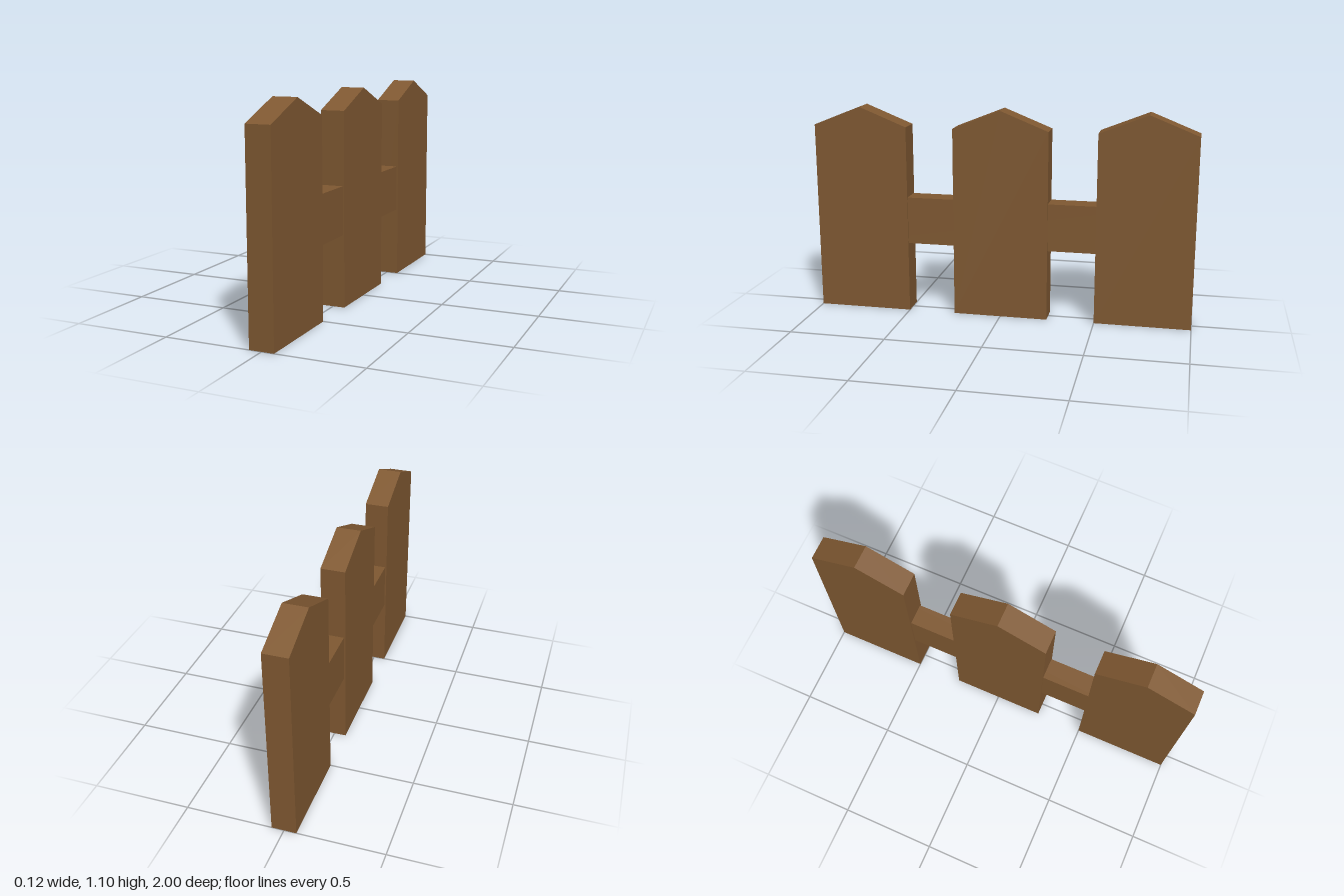
import * as THREE from 'three';

export function createModel() {
  const fence = new THREE.Group();
  fence.name = 'fence';
  const wood = new THREE.MeshStandardMaterial({ color: 0x805932 });
  wood.name = 'brown wood';

  // Pointed picket outline, extruded through its thickness
  const thickness = 0.125;
  const outline = new THREE.Shape([
    [-0.25, 0], [0.25, 0], [0.25, 1], [0, 1.1], [-0.25, 1],
  ].map(([x, y]) => new THREE.Vector2(x, y)));
  const picketGeometry = new THREE.ExtrudeGeometry(outline, { depth: thickness, bevelEnabled: false });
  picketGeometry.translate(0, 0, -thickness / 2).rotateY(Math.PI / 2);

  // Three evenly spaced pickets
  ['backPicket', 'middlePicket', 'frontPicket'].forEach((name, i) => {
    const picket = new THREE.Mesh(picketGeometry, wood);
    picket.name = name;
    picket.position.z = (i - 1) * 0.75;
    fence.add(picket);
  });

  // Slightly thinner rail joining the pickets
  const rail = new THREE.Mesh(new THREE.BoxGeometry(0.11, 0.25, 1.5), wood);
  rail.name = 'rail';
  rail.position.y = 0.5;
  fence.add(rail);

  return fence;
}
